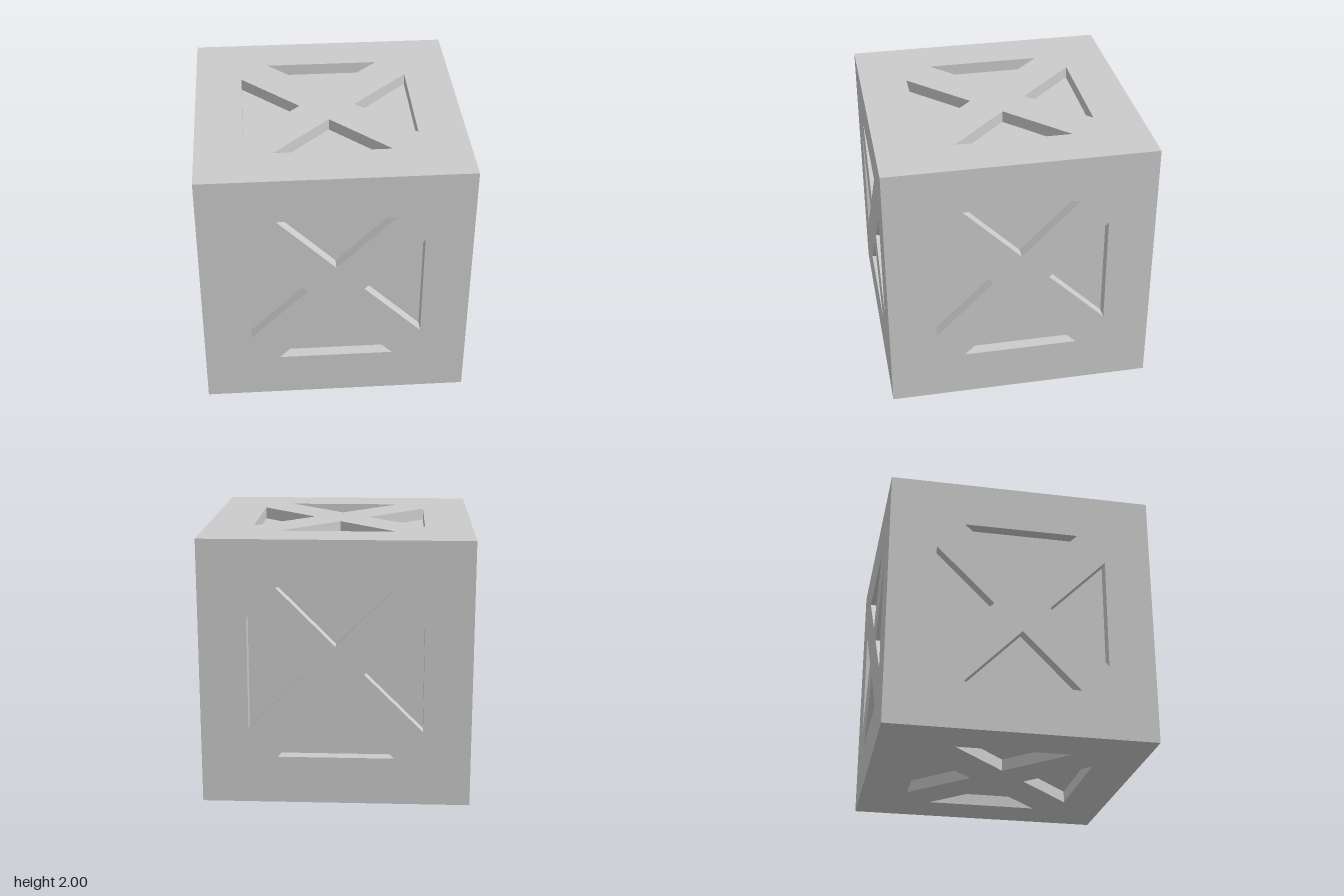
import * as THREE from 'three';

const DEPTH = 0.09;   // how far each triangle is sunk
const OUTER = 0.645;  // centre to the long edge of a triangle
const APEX = 0.21;    // centre to the inner point
const HALF = 0.433;   // half the long edge
const SHIFT = 0.005;  // the pattern sits a touch off centre

// Four triangles (counter-clockwise) pointing at the centre of a face
function trianglePattern() {
  const base = [[APEX, 0], [OUTER, -HALF], [OUTER, HALF]];
  return [0, 1, 2, 3].map((i) => base.map(([x, y]) =>
    new THREE.Vector2(x, y)
      .rotateAround(new THREE.Vector2(), i * Math.PI / 2)
      .add(new THREE.Vector2(0, SHIFT))));
}

// Side walls of a sunken outline, facing into the recess
function recessWalls(points) {
  const pos = [];
  points.forEach((a, i) => {
    const b = points[(i + 1) % points.length];
    const low = 1 - DEPTH;
    pos.push(a.x, a.y, 1, b.x, b.y, 1, b.x, b.y, low);
    pos.push(a.x, a.y, 1, b.x, b.y, low, a.x, a.y, low);
  });
  const geo = new THREE.BufferGeometry();
  geo.setAttribute('position', new THREE.Float32BufferAttribute(pos, 3));
  geo.computeVertexNormals();
  return geo;
}

export function createModel() {
  const model = new THREE.Group();
  model.name = 'crateCube';
  const material = new THREE.MeshStandardMaterial({ color: 0xcccccc, flatShading: true });
  const triangles = trianglePattern();

  // Square face plate with the four triangles cut out
  const plate = new THREE.Shape([[-1, -1], [1, -1], [1, 1], [-1, 1]]
    .map(([x, y]) => new THREE.Vector2(x, y)));
  triangles.forEach((t) => plate.holes.push(new THREE.Path(t)));
  const plateGeo = new THREE.ShapeGeometry(plate).translate(0, 0, 1);

  const floorGeos = triangles.map((t) =>
    new THREE.ShapeGeometry(new THREE.Shape(t)).translate(0, 0, 1 - DEPTH));
  const wallGeos = triangles.map(recessWalls);

  const add = (group, geometry, name) => {
    const mesh = new THREE.Mesh(geometry, material);
    mesh.name = name;
    group.add(mesh);
  };

  // The same panel on all six sides
  const q = Math.PI / 2;
  const sides = {
    front: [0, 0], left: [0, q], back: [0, 2 * q], right: [0, -q], top: [-q, 0], bottom: [q, 0],
  };
  for (const [side, [rx, ry]] of Object.entries(sides)) {
    const face = new THREE.Group();
    face.name = `${side}Face`;
    face.rotation.set(rx, ry, 0);
    face.position.y = 1;
    add(face, plateGeo, 'facePlate');
    floorGeos.forEach((geo) => add(face, geo, 'recessFloor'));
    wallGeos.forEach((geo) => add(face, geo, 'recessWalls'));
    model.add(face);
  }
  return model;
}
